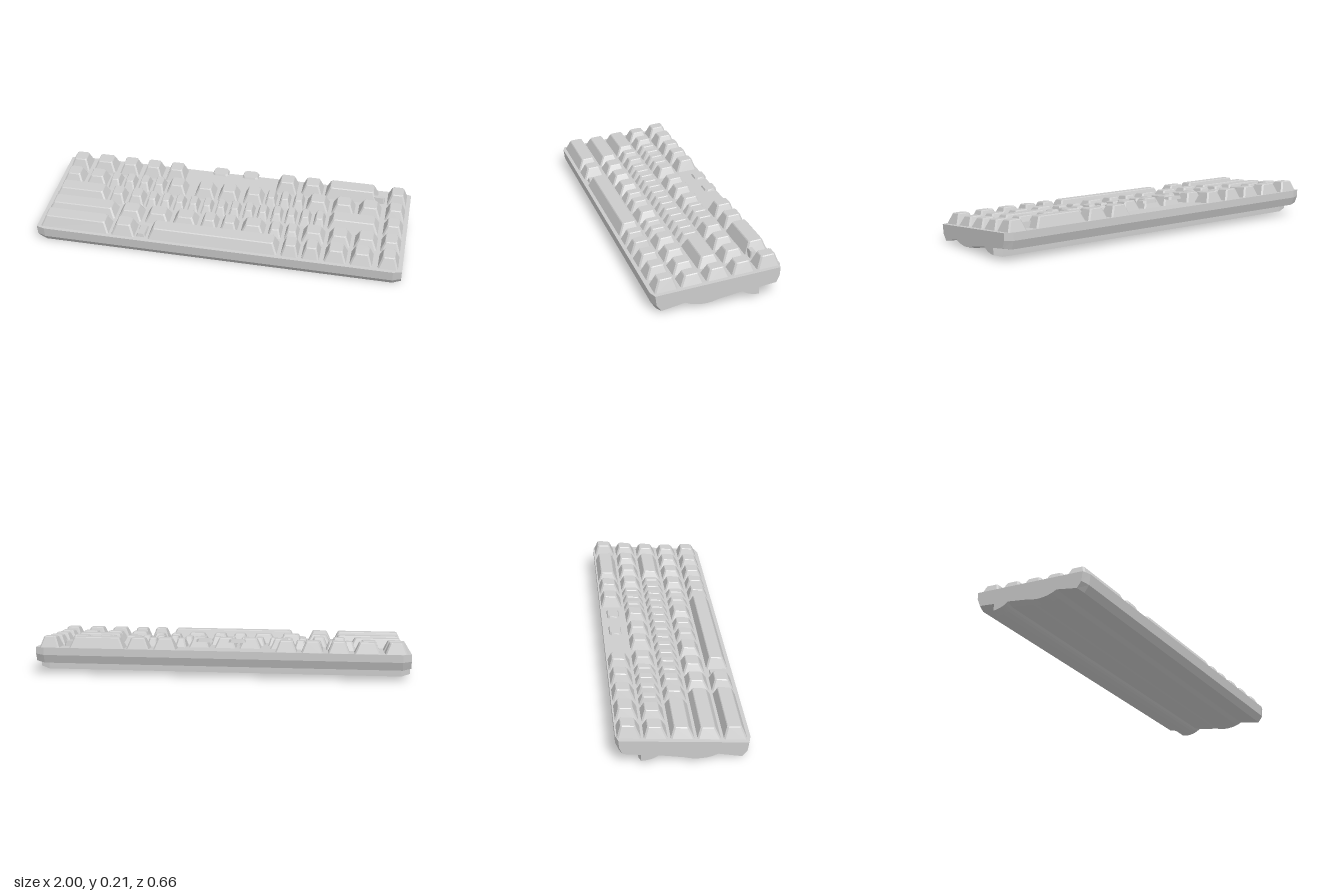
import * as THREE from 'three';
import { ConvexGeometry } from 'three/addons/geometries/ConvexGeometry.js';

const material = new THREE.MeshStandardMaterial({ color: 0xcccccc, flatShading: true });
const deckY = (z) => 0.121 - 0.091 * z;

// Even runs of keys from x0 to x1, split into count keys
const run = (x0, x1, count = 1, gap = 0.014) => {
  const pitch = (x1 - x0 + gap) / count;
  return Array.from({ length: count }, (_, i) => [x0 + i * pitch, x0 + (i + 1) * pitch - gap]);
};

// Rows from front to back: height of the key tops and the runs of keys
const ROWS = [
  { name: 'frontRow', y: 0.155, keys: [run(-0.98, -0.59), run(-0.58, -0.445), run(0.355, 0.565, 2), run(0.585, 0.845, 2)] },
  { name: 'lowerRow', y: 0.159, keys: [run(-0.98, -0.59), run(-0.58, -0.13, 3), run(-0.115, 0.095, 2), run(0.11, 0.245), run(0.26, 0.43, 2), run(0.445, 0.855, 3)] },
  { name: 'homeRow', y: 0.172, keys: [run(-0.98, -0.68), run(-0.67, -0.465, 2), run(-0.455, 0.555, 13), run(0.57, 0.85)] },
  { name: 'upperRow', y: 0.186, keys: [run(-0.98, -0.72, 2), run(-0.71, -0.38, 4), run(-0.37, -0.25), run(-0.205, 0.05, 2), run(0.075, 0.19), run(0.2, 0.42, 3), run(0.43, 0.85, 3)] },
  { name: 'backRow', y: 0.204, keys: [run(-0.98, -0.86), run(-0.84, -0.7), run(-0.68, -0.285, 3, 0.02), run(0.24, 0.51, 2, 0.02), run(0.52, 0.82)] },
];

function addMesh(parent, name, geometry) {
  const mesh = new THREE.Mesh(geometry, material);
  mesh.name = name;
  parent.add(mesh);
}

// Rectangle with cut corners; yAt gives the height for each z
function ring(x0, x1, z, half, cut, yAt) {
  const points = [];
  for (const [x, sx] of [[x0, 1], [x1, -1]]) {
    for (const sz of [1, -1]) {
      const edge = z + sz * half, inner = edge - sz * cut;
      points.push(new THREE.Vector3(x + sx * cut, yAt(edge), edge));
      points.push(new THREE.Vector3(x, yAt(inner), inner));
    }
  }
  return points;
}

const baseY = (z) => deckY(z) - 0.006;

// Tapered keycap with a sloped, softened top
function keyGeometry(x0, x1, z, y) {
  const inset = Math.min(0.027, (x1 - x0) * 0.2);
  const topZ = z - 0.003;
  const topY = (pz) => y + (topZ - pz) * 0.1;
  return new ConvexGeometry([
    ...ring(x0, x1, z, 0.06, 0.008, baseY),
    ...ring(x0 + inset, x1 - inset, topZ, 0.037, 0.008, (pz) => topY(pz) - 0.004),
    ...ring(x0 + inset + 0.004, x1 - inset - 0.004, topZ, 0.033, 0.007, topY),
  ]);
}

function caseGeometry() {
  // Side profile drawn with -z across: front lip, curved belly, rear foot, back wall
  const shape = new THREE.Shape();
  shape.moveTo(-0.33, 0.091);
  shape.lineTo(-0.323, 0.035);
  shape.lineTo(-0.297, 0);
  shape.lineTo(-0.175, 0.027);
  shape.bezierCurveTo(-0.12, -0.003, -0.05, -0.003, 0, 0.017);
  shape.lineTo(0.13, 0.041);
  shape.quadraticCurveTo(0.16, 0.012, 0.219, 0.01);
  shape.lineTo(0.219, 0.051);
  shape.lineTo(0.312, 0.064);
  shape.lineTo(0.33, 0.11);
  shape.lineTo(0.33, 0.151);
  const geometry = new THREE.ExtrudeGeometry(shape, { depth: 3, steps: 3, curveSegments: 6, bevelEnabled: false });
  geometry.rotateY(Math.PI / 2);
  // Spread the four sections over the width and draw in both end sections
  const stations = [-1, -0.955, 0.955, 1];
  const p = geometry.attributes.position;
  for (let i = 0; i < p.count; i++) {
    const step = Math.round(p.getX(i));
    let y = p.getY(i), z = p.getZ(i);
    if (step === 0 || step === 3) {
      y += (deckY(z) - y) * 0.1;
      z *= 0.955;
    }
    p.setXYZ(i, stations[step], y, z);
  }
  geometry.computeVertexNormals();
  return geometry;
}

export function createModel() {
  const model = new THREE.Group();
  model.name = 'keyboard';
  addMesh(model, 'case', caseGeometry());

  // Rows of keys, the narrow ones a little lower, closed by the right-hand column
  ROWS.forEach((row, i) => {
    const group = new THREE.Group();
    group.name = row.name;
    model.add(group);
    const z = 0.254 - i * 0.1295;
    for (const [x0, x1] of [...row.keys.flat(), [0.87, 0.98]]) {
      const drop = x1 - x0 < 0.09 ? 0.008 : 0;
      addMesh(group, 'key', keyGeometry(x0, x1, z, row.y - drop));
    }
  });
  addMesh(model, 'spaceBar', keyGeometry(-0.375, 0.34, 0.254, 0.155));

  // Two loose cap tops above the gap in the back row
  for (const x of [-0.083, 0.09]) {
    const z = -0.267;
    addMesh(model, 'looseCapTop', new ConvexGeometry([
      ...ring(x - 0.045, x + 0.045, z, 0.033, 0.012, () => 0.192),
      ...ring(x - 0.04, x + 0.04, z, 0.029, 0.012, (pz) => 0.204 + (z - pz) * 0.1),
    ]));
  }

  // Low stubs beside the long back key and the space bar
  for (const [x0, x1, z, half, y] of [[0.79, 0.86, -0.233, 0.018, 0.175], [-0.44, -0.385, 0.253, 0.048, 0.112]]) {
    addMesh(model, 'lowStub', new ConvexGeometry([
      ...ring(x0, x1, z, half, 0.005, baseY),
      ...ring(x0 + 0.008, x1 - 0.008, z, half - 0.006, 0.005, () => y),
    ]));
  }
  return model;
}
